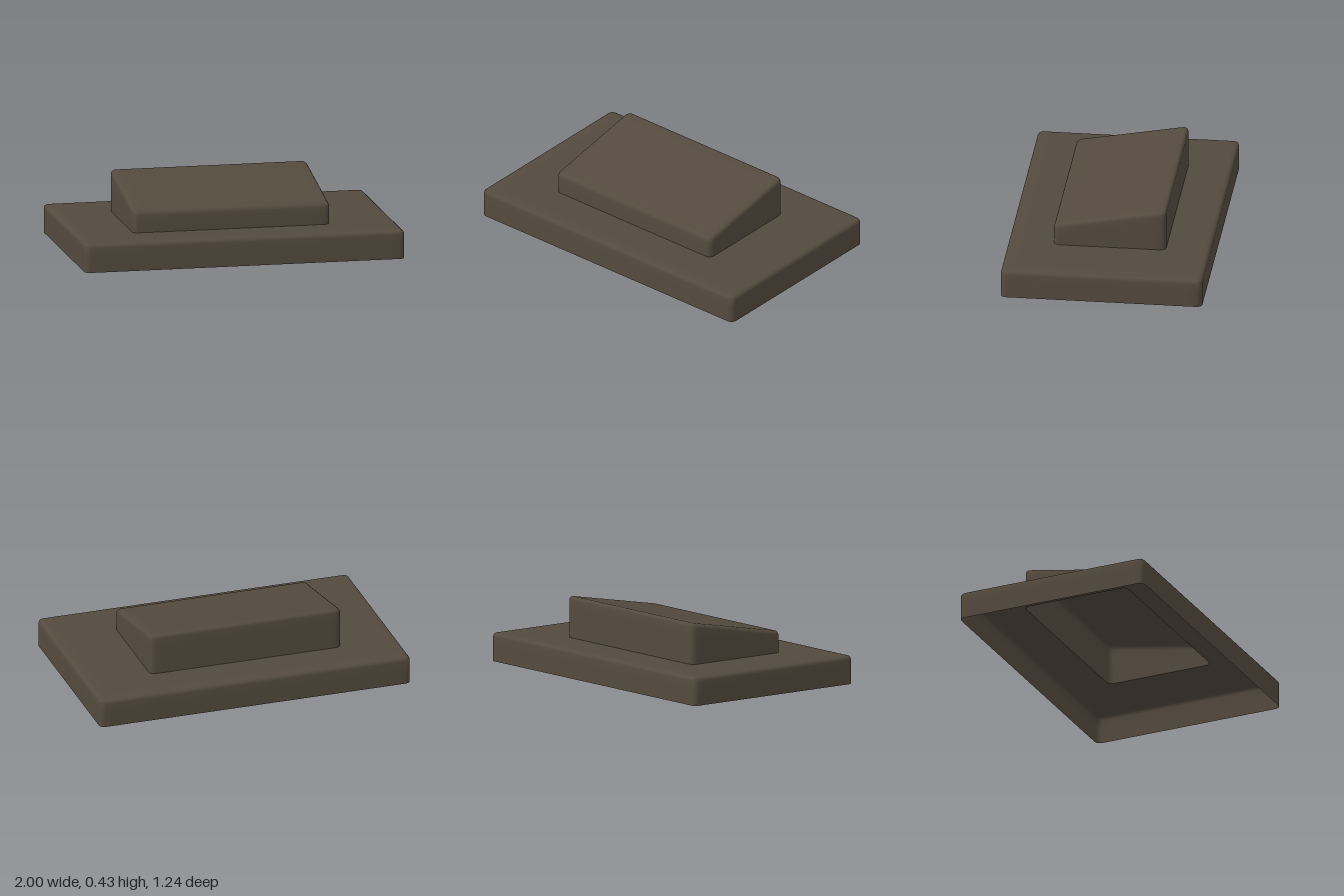
import * as THREE from 'three';
import { toCreasedNormals } from 'three/addons/utils/BufferGeometryUtils.js';

const RADIUS = 0.035;
const BEVEL = 0.025;
const HOLD = 0.05; // width of the soft band beside each rounded edge

// Rounded rectangle loop, inset from the given bounds; height may vary with z
function loop({ x0, x1, z0, z1 }, inset, height) {
  const r = Math.max(RADIUS - inset, 0.005);
  const c = inset + r;
  const points = [];
  const corners = [[x1 - c, z1 - c], [x0 + c, z1 - c], [x0 + c, z0 + c], [x1 - c, z0 + c]];
  corners.forEach(([cx, cz], k) => {
    const start = k * Math.PI / 2;
    const add = (x, z) => points.push(new THREE.Vector3(x, height(z), z));
    const end = start + Math.PI / 2;
    const sx = Math.cos(start), sz = Math.sin(start);
    const ex = Math.cos(end), ez = Math.sin(end);
    add(cx + sx * r - ex * HOLD, cz + sz * r - ez * HOLD);
    for (let i = 0; i <= 4; i++) {
      const a = start + (i / 4) * Math.PI / 2;
      add(cx + Math.cos(a) * r, cz + Math.sin(a) * r);
    }
    add(cx + ex * r - sx * HOLD, cz + ez * r - sz * HOLD);
  });
  return points;
}

// Wall that rises to a rounded rim, then a narrow flat band
function rimLoops(bounds, bottom, top) {
  const loops = [loop(bounds, 0, () => bottom), loop(bounds, 0, (z) => top(z) - HOLD - BEVEL)];
  for (let i = 0; i <= 4; i++) {
    const a = (i / 4) * Math.PI / 2;
    loops.push(loop(bounds, BEVEL * (1 - Math.cos(a)), (z) => top(z) - BEVEL * (1 - Math.sin(a))));
  }
  loops.push(loop(bounds, BEVEL + HOLD, top));
  return loops;
}

// Joins successive loops into a shell, with an optional cap on the last one
function skin(loops, capped) {
  const n = loops[0].length;
  const points = loops.flat();
  const index = [];
  for (let j = 0; j < loops.length - 1; j++) {
    for (let i = 0; i < n; i++) {
      const a = j * n + i, b = j * n + (i + 1) % n;
      index.push(a, a + n, b, b, a + n, b + n);
    }
  }
  if (capped) {
    const last = loops[loops.length - 1];
    const centre = last.reduce((s, p) => s.add(p), new THREE.Vector3()).divideScalar(n);
    const first = points.length - n;
    points.push(centre);
    for (let i = 0; i < n; i++) index.push(first + i, points.length - 1, first + (i + 1) % n);
  }
  const geometry = new THREE.BufferGeometry().setFromPoints(points);
  geometry.setIndex(index);
  return toCreasedNormals(geometry, 0.8);
}

export function createModel() {
  const model = new THREE.Group();
  model.name = 'steppedHousing';
  const darkBrown = new THREE.MeshStandardMaterial({ color: 0x544a3e, side: THREE.DoubleSide });
  darkBrown.name = 'darkBrown';

  const baseBounds = { x0: -1, x1: 1, z0: -0.62, z1: 0.62 };
  const blockBounds = { x0: -0.64, x1: 0.59, z0: -0.35, z1: 0.34 };
  const baseTop = 0.175;

  // Hollow base: open underneath and open where the raised block stands
  const baseLoops = rimLoops(baseBounds, 0, () => baseTop);
  baseLoops.push(loop(blockBounds, 0, () => baseTop));
  const base = new THREE.Mesh(skin(baseLoops, false), darkBrown);
  base.name = 'base';

  // Hollow raised block whose top slopes down towards the front
  const slope = (z) => 0.369 - 0.185 * z;
  const block = new THREE.Mesh(skin(rimLoops(blockBounds, baseTop, slope), true), darkBrown);
  block.name = 'slopedBlock';

  model.add(base, block);
  return model;
}
